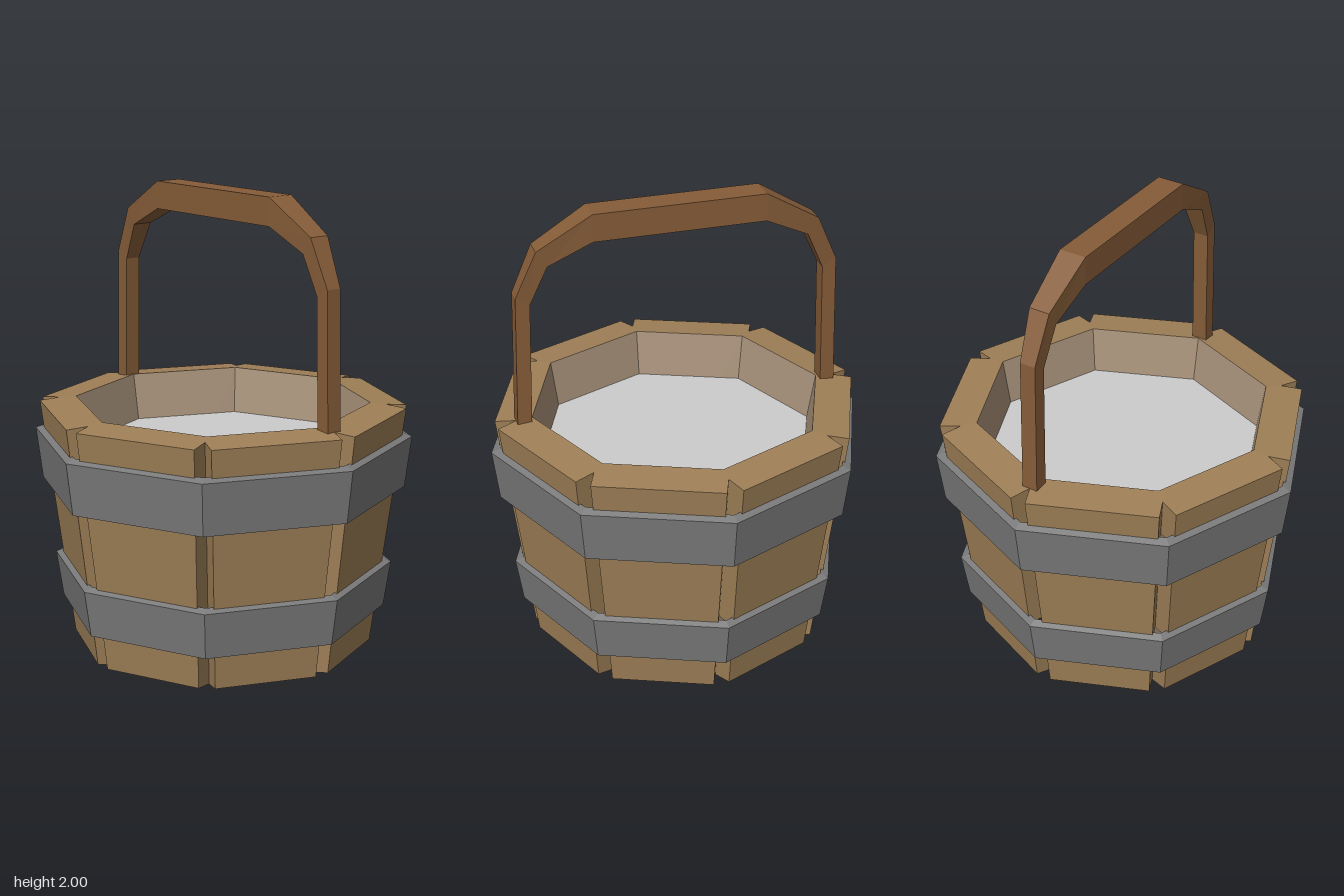
import * as THREE from 'three';

const SIDES = 8;
const mat = (color) => new THREE.MeshStandardMaterial({ color, flatShading: true, side: THREE.DoubleSide });

// Skin a list of closed rings of [x, y, z]; rings running upward face outward
function loft(rings) {
  const pos = [];
  for (let i = 0; i < rings.length - 1; i++) {
    const a = rings[i], b = rings[i + 1], n = a.length;
    for (let j = 0; j < n; j++) {
      const k = (j + 1) % n;
      pos.push(...a[j], ...b[j], ...a[k], ...a[k], ...b[j], ...b[k]);
    }
  }
  const g = new THREE.BufferGeometry();
  g.setAttribute('position', new THREE.Float32BufferAttribute(pos, 3));
  g.computeVertexNormals();
  return g;
}

// Plain octagon ring with corners on the axes; each corner may be repeated
function octagon(r, y, repeat = 1) {
  const ring = [];
  for (let i = 0; i < SIDES; i++) {
    const a = (i / SIDES) * Math.PI * 2;
    for (let k = 0; k < repeat; k++) ring.push([r * Math.cos(a), y, r * Math.sin(a)]);
  }
  return ring;
}

// Octagon ring with a V groove cut into every corner
const GROOVE = 0.1;
function grooved(r, y, tipY = y) {
  const ring = [];
  const half = 0.037, ca = Math.sin(Math.PI / SIDES), sa = Math.cos(Math.PI / SIDES);
  for (let i = 0; i < SIDES; i++) {
    const a = (i / SIDES) * Math.PI * 2, c = Math.cos(a), s = Math.sin(a);
    const put = (u, v, h) => ring.push([u * c - v * s, h, u * s + v * c]);
    put(r - half * ca, -half * sa, y);
    put(r - GROOVE, 0, tipY);
    put(r - half * ca, half * sa, y);
  }
  return ring;
}

const RIM = 1.085, FLOOR = 0.13, LIQUID = 0.88;
const staveRadius = (y) => 0.67 + 0.13 * y;
const innerRadius = (y) => 0.64 - 0.167 * (RIM - y);

export function createModel() {
  const model = new THREE.Group();
  const wood = mat(0x9f8057), innerWood = mat(0xa8927a), iron = mat(0x7a7a7a);
  const handleWood = mat(0x855c38), grey = mat(0xcccccc);
  const add = (name, geometry, material) => {
    const mesh = new THREE.Mesh(geometry, material);
    mesh.name = name;
    model.add(mesh);
  };

  // Outer staves, their ends tucked behind the hoops
  add('lowerStaves', loft([
    octagon(staveRadius(0) - GROOVE, 0, 3),
    grooved(staveRadius(0.015), 0.015, 0),
    grooved(staveRadius(0.18), 0.18),
  ]), wood);
  add('middleStaves', loft([
    grooved(staveRadius(0.34), 0.34),
    grooved(staveRadius(0.76), 0.76),
  ]), wood);
  add('upperStaves', loft([
    grooved(staveRadius(0.9), 0.9),
    grooved(staveRadius(1.07), 1.07, 1.079),
    octagon(innerRadius(RIM), RIM, 3),
  ]), wood);

  // Inner wall and floor
  add('innerWall', loft([octagon(innerRadius(RIM), RIM), octagon(innerRadius(FLOOR), FLOOR)]), innerWood);
  add('floor', loft([octagon(0, FLOOR), octagon(innerRadius(FLOOR), FLOOR)]), wood);

  // Contents
  add('liquid', loft([octagon(innerRadius(LIQUID), LIQUID), octagon(0, LIQUID)]), grey);

  // Metal hoops
  const hoop = (name, y0, y1, r0, r1) => add(name, loft([
    octagon(staveRadius(y0) - 0.01, y0 - 0.012),
    octagon(r0, y0),
    octagon(r1, y1),
    octagon(staveRadius(y1) - 0.01, y1 + 0.015),
  ]), iron);
  hoop('lowerHoop', 0.168, 0.37, 0.715, 0.745);
  hoop('upperHoop', 0.714, 0.94, 0.795, 0.823);

  // Handle: [outer z, outer y, inner z, inner y, half width], mirrored front to back
  const side = [
    [0.71, 1.075, 0.648, 1.075, 0.035],
    [0.695, 1.66, 0.635, 1.625, 0.035],
    [0.605, 1.86, 0.56, 1.79, 0.046],
    [0.37, 2.0, 0.37, 1.88, 0.06],
  ];
  const back = side.map(([oz, oy, iz, iy, w]) => [-oz, oy, -iz, iy, w]).reverse();
  const sections = [...side, ...back].map(([oz, oy, iz, iy, w]) =>
    [[w, oy, oz], [w, iy, iz], [-w, iy, iz], [-w, oy, oz]]);
  add('handle', loft(sections), handleWood);

  return model;
}
